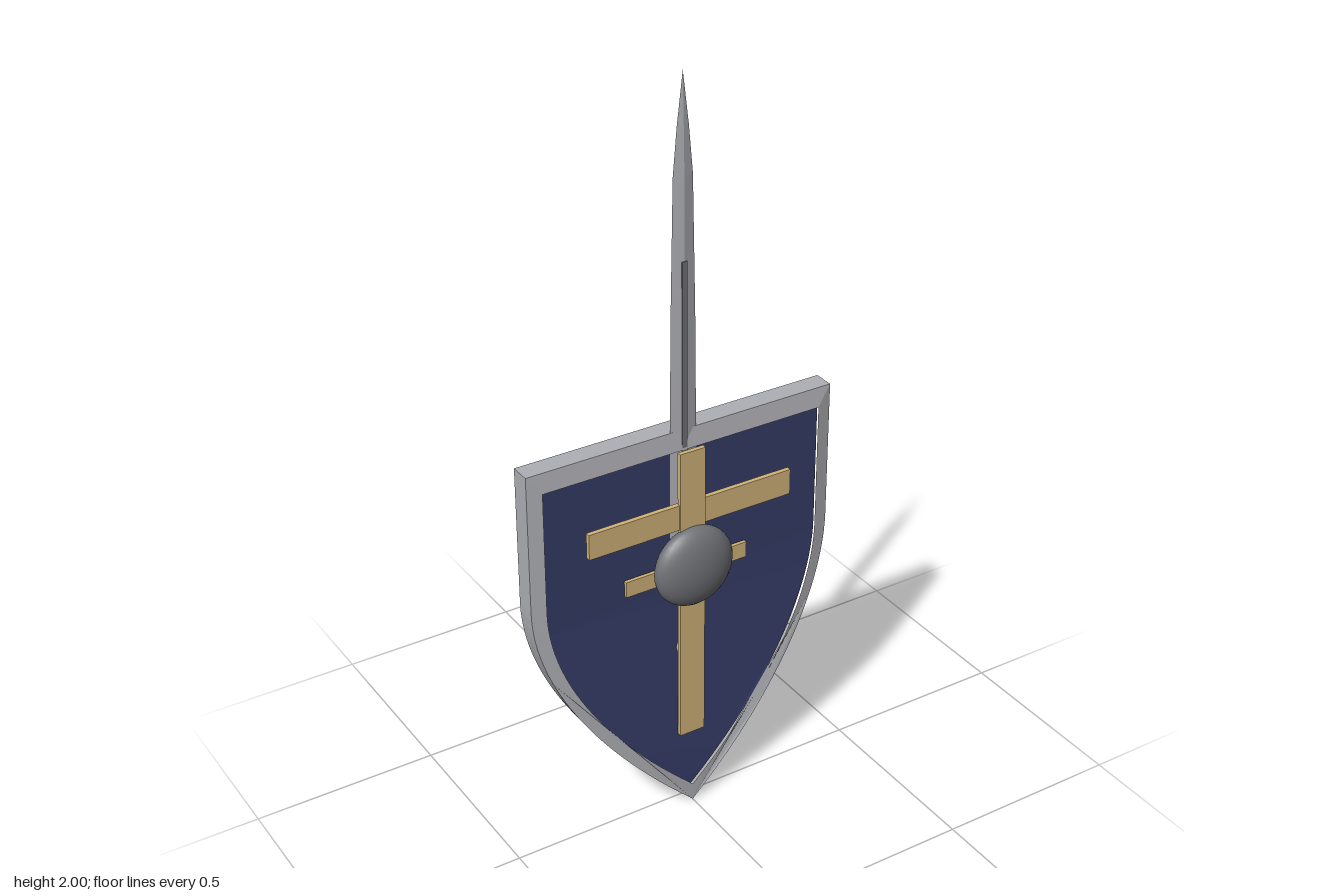
import * as THREE from 'three';

const mat = (name, color) => {
  const m = new THREE.MeshStandardMaterial({ color });
  m.name = name;
  return m;
};

export function createModel() {
  const steel = mat('steel', 0xafb0b5);
  const darkSteel = mat('dark steel', 0x727378);
  const navy = mat('navy', 0x363c69);
  const gold = mat('gold', 0xd2b47a);
  const leather = mat('brown leather', 0x574034);

  const model = new THREE.Group();
  model.name = 'shieldAndSword';

  const add = (name, geometry, material, x = 0, y = 0, z = 0) => {
    const mesh = new THREE.Mesh(geometry, material);
    mesh.name = name;
    mesh.position.set(x, y, z);
    model.add(mesh);
    return mesh;
  };
  // Box given by half width, y range and z range, centred on x = 0
  const bar = (name, material, hw, y0, y1, z0, z1) =>
    add(name, new THREE.BoxGeometry(hw * 2, y1 - y0, z1 - z0), material, 0, (y0 + y1) / 2, (z0 + z1) / 2);

  // Heater-shield outline: flat top, straight upper sides, curves to a point
  const outline = (Type, w, top, side, ctrl, tip) => {
    const s = new Type();
    s.moveTo(-w, top);
    s.lineTo(w, top);
    s.lineTo(w, side);
    s.quadraticCurveTo(w, ctrl, 0, tip);
    s.quadraticCurveTo(-w, ctrl, -w, side);
    s.lineTo(-w, top);
    return s;
  };
  // Extrude and bow the plate forward toward its centre line
  const bowed = (shape, back, front) => {
    const g = new THREE.ExtrudeGeometry(shape, { depth: front - back, bevelEnabled: false, curveSegments: 24 });
    const p = g.attributes.position;
    for (let i = 0; i < p.count; i++) {
      const t = p.getX(i) / 0.432;
      p.setZ(i, p.getZ(i) + back + 0.045 * (1 - t * t));
    }
    g.computeVertexNormals();
    return g;
  };

  // Shield rim and field
  const rimShape = outline(THREE.Shape, 0.432, 1.095, 0.72, 0.4, 0);
  rimShape.holes.push(outline(THREE.Path, 0.393, 1.043, 0.71, 0.41, 0.05));
  add('shieldRim', bowed(rimShape, -0.065, -0.01), steel);
  add('shieldField', bowed(outline(THREE.Shape, 0.397, 1.047, 0.71, 0.41, 0.046), -0.055, -0.02), navy);

  // Applied cross and domed boss
  bar('crossUpright', gold, 0.036, 0.22, 1.056, 0.021, 0.033);
  bar('crossArm', gold, 0.29, 0.842, 0.912, 0.016, 0.029);
  const boss = add('boss', new THREE.SphereGeometry(0.111, 32, 20), darkSteel, 0, 0.733, 0.037);
  boss.scale.z = 0.43;

  // Back grip block
  bar('backGrip', leather, 0.04, 0.412, 0.798, -0.086, -0.045);

  // Sword blade: diamond section, each row [y, half width]
  const rows = [[0.7, 0.039], [1.1, 0.037], [1.4, 0.034], [1.75, 0.027], [1.87, 0.016], [2, 0]];
  const blade = new THREE.CylinderGeometry(1, 1, 1, 4, rows.length - 1, true).toNonIndexed();
  const p = blade.attributes.position;
  for (let i = 0; i < p.count; i++) {
    const [y, w] = rows[Math.round((p.getY(i) + 0.5) * (rows.length - 1))];
    p.setXYZ(i, p.getX(i) * w, y, p.getZ(i) * Math.min(0.008, w * 0.25));
  }
  blade.computeVertexNormals();
  add('swordBlade', blade, steel, 0, 0, -0.012);
  bar('fuller', darkSteel, 0.007, 0.72, 1.54, -0.021, -0.003);

  // Sword guard, grip and pommel
  bar('swordGuard', gold, 0.176, 0.682, 0.726, -0.003, 0.007);
  add('swordGrip', new THREE.CylinderGeometry(0.016, 0.016, 0.2, 16), leather, 0, 0.585, 0.001);
  add('swordPommel', new THREE.SphereGeometry(0.027, 20, 14), gold, 0, 0.472, 0.0);

  return model;
}
